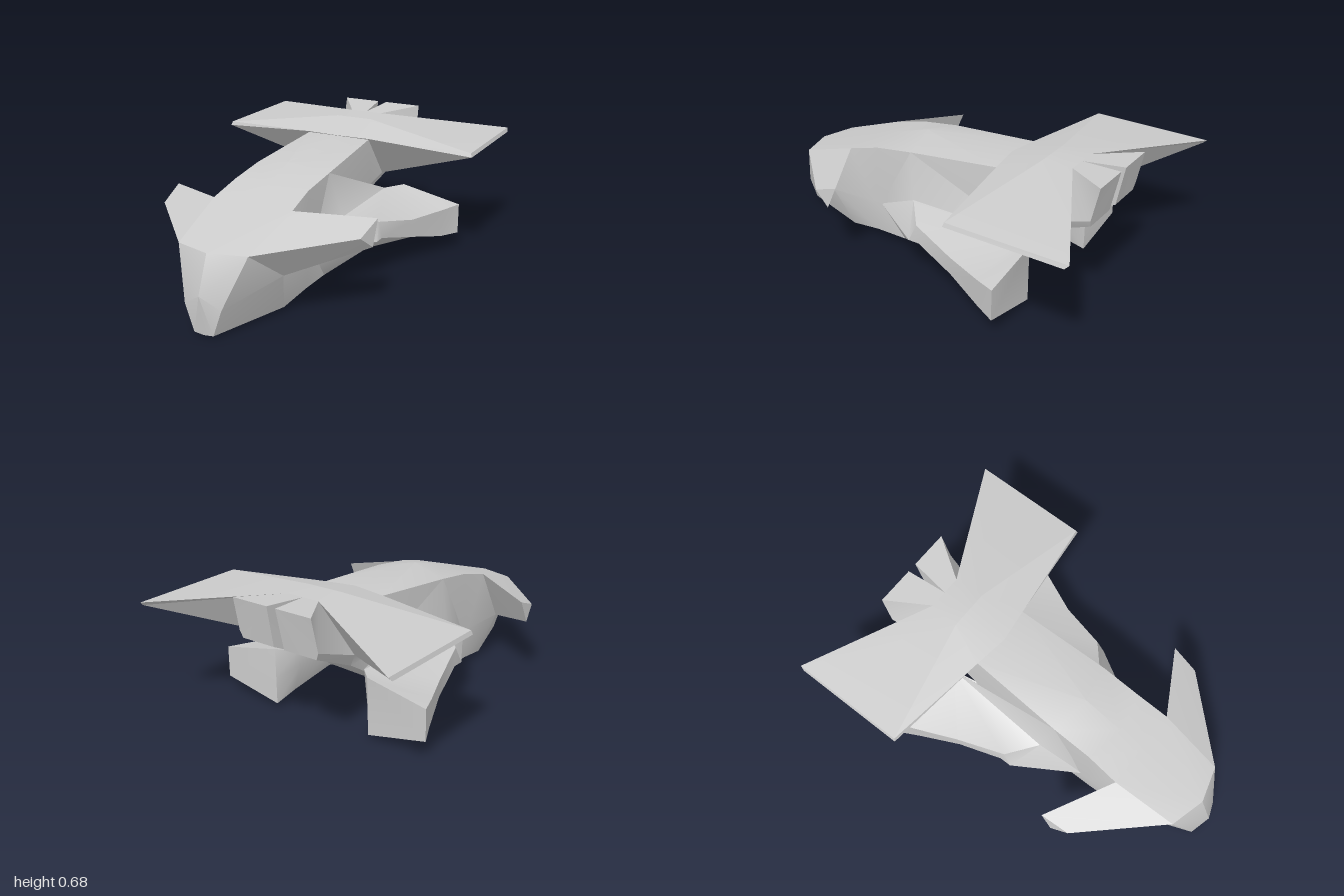
import * as THREE from 'three';
import { toCreasedNormals } from 'three/addons/utils/BufferGeometryUtils.js';

const material = new THREE.MeshStandardMaterial({ color: 0xcccccc });

// Skin a row of cross-sections; side = -1 mirrors it. Closed rings wrap round,
// open ones are halves that end on the x = 0 plane.
function skin(sections, side, closed, caps) {
  const rings = sections.map(s => s.map(p => new THREE.Vector3(p[0] * side, p[1], p[2])));
  const tris = [];
  const add = (a, b, c) => {
    const area = b.clone().sub(a).cross(c.clone().sub(a)).length();
    if (area > 1e-7) tris.push([a, b, c]);
  };
  const n = rings[0].length;
  for (let i = 0; i < rings.length - 1; i++) {
    for (let j = 0; j < (closed ? n : n - 1); j++) {
      const k = (j + 1) % n, r = rings[i], q = rings[i + 1];
      add(r[j], q[j], q[k]);
      add(r[j], q[k], r[k]);
    }
  }
  const first = rings[0], last = rings[rings.length - 1];
  for (let j = 1; j < n - 1; j++) {
    if (caps[0]) add(first[0], first[j], first[j + 1]);
    if (caps[1]) add(last[0], last[j + 1], last[j]);
  }
  // Turn the faces outward by the sign of the enclosed volume
  let volume = 0;
  for (const [a, b, c] of tris) volume += a.dot(b.clone().cross(c));
  return tris.flatMap(([a, b, c]) => (volume < 0 ? [a, c, b] : [a, b, c]));
}

function makeMesh(name, points, crease) {
  const geometry = new THREE.BufferGeometry().setFromPoints(points);
  const mesh = new THREE.Mesh(toCreasedNormals(geometry, crease), material);
  mesh.name = name;
  return mesh;
}

export function createModel() {
  const group = new THREE.Group();
  group.name = 'glider';

  const whole = (name, sections, closed, crease) => group.add(makeMesh(name,
    [1, -1].flatMap(side => skin(sections, side, closed, [false, true])), crease));
  const pair = (name, sections, crease) => {
    for (const [side, label] of [[1, 'left'], [-1, 'right']])
      group.add(makeMesh(label + name, skin(sections, side, true, [true, true]), crease));
  };

  // Hull: half sections from top centre to bottom centre, nose to tail
  const tip = [0, 0.2, 1];
  whole('hull', [
    [tip, tip, tip, tip, tip],
    [[0, 0.375, 0.93], [0.18, 0.375, 0.88], [0.095, 0.14, 0.97], [0.05, 0.01, 0.97], [0, 0.005, 0.97]],
    [[0, 0.49, 0.55], [0.21, 0.485, 0.55], [0.23, 0.22, 0.67], [0.18, 0.02, 0.58], [0, 0.008, 0.58]],
    [[0, 0.535, 0.42], [0.2, 0.53, 0.38], [0.215, 0.22, 0.4], [0.2, 0.05, 0.4], [0, 0, 0.45]],
    [[0, 0.6, 0.21], [0.2, 0.56, 0.17], [0.21, 0.24, 0.22], [0.2, 0.05, 0.22], [0, 0, 0.22]],
    [[0, 0.613, -0.3], [0.175, 0.605, -0.32], [0.2, 0.375, -0.31], [0.2, 0.14, -0.25], [0, 0.13, -0.25]],
    [[0, 0.65, -0.51], [0.17, 0.59, -0.52], [0.17, 0.375, -0.52], [0.13, 0.305, -0.5], [0, 0.305, -0.5]],
  ], false, 0.5);

  // Rear wing: sections from the centre line out to the tip
  whole('rearWing', [
    [[0, 0.615, -0.295], [0, 0.665, -0.515], [0, 0.665, -0.67], [0, 0.375, -0.52], [0, 0.375, -0.52]],
    [[0.18, 0.61, -0.32], [0.1, 0.665, -0.515], [0.09, 0.665, -0.67], [0.17, 0.375, -0.52], [0.17, 0.375, -0.52]],
    [[0.717, 0.565, -0.39], [0.71, 0.585, -0.395], [0.71, 0.585, -1], [0.717, 0.565, -0.98], [0.717, 0.565, -0.39]],
  ], true, 0.2);

  // Swept fins on either side of the nose, root to tip
  pair('NoseFin', [
    [[0.18, 0.375, 0.88], [0.21, 0.485, 0.55], [0.23, 0.22, 0.67]],
    [[0.53, 0.395, 0.51], [0.547, 0.45, 0.365], [0.55, 0.33, 0.42]],
  ], 0.5);

  // Side pods, back to front: inner top, crest, outer low edge, bottom, inner wall.
  // The scooped top fans out from one inner corner at the rear.
  const shoulder = [0.2, 0.56, 0.17], corner = [0.2, 0.3, -0.49];
  pair('SidePod', [
    [[0.28, 0.31, -0.57], [0.6, 0.245, -0.57], [0.6, 0.085, -0.57], [0.28, 0.02, -0.57], [0.28, 0.16, -0.57]],
    [corner, [0.557, 0.241, -0.46], [0.545, 0.09, -0.46], [0.26, 0.06, -0.46], [0.22, 0.2, -0.46]],
    [corner, [0.465, 0.235, -0.25], [0.46, 0.14, -0.25], [0.21, 0.13, -0.25], [0.15, 0.25, -0.3]],
    [corner, [0.39, 0.29, 0], [0.4, 0.2, -0.02], [0.2, 0.085, 0], [0.1, 0.25, 0]],
    [corner, [0.25, 0.33, 0.12], [0.4, 0.2, 0.04], [0.2, 0.05, 0.22], [0.1, 0.2, 0.15]],
    [shoulder, shoulder, [0.21, 0.22, 0.36], [0.2, 0.05, 0.22], [0.1, 0.2, 0.2]],
  ], 0.85);

  // Twin tail blocks spreading back from the hull
  pair('TailBlock', [
    [[0, 0.665, -0.67], [0.09, 0.665, -0.67], [0.17, 0.375, -0.52], [0.13, 0.305, -0.5], [0, 0.305, -0.5]],
    [[0.025, 0.68, -0.88], [0.225, 0.68, -0.88], [0.23, 0.51, -0.845], [0.215, 0.475, -0.84], [0.03, 0.475, -0.84]],
  ], 0.5);

  return group;
}
